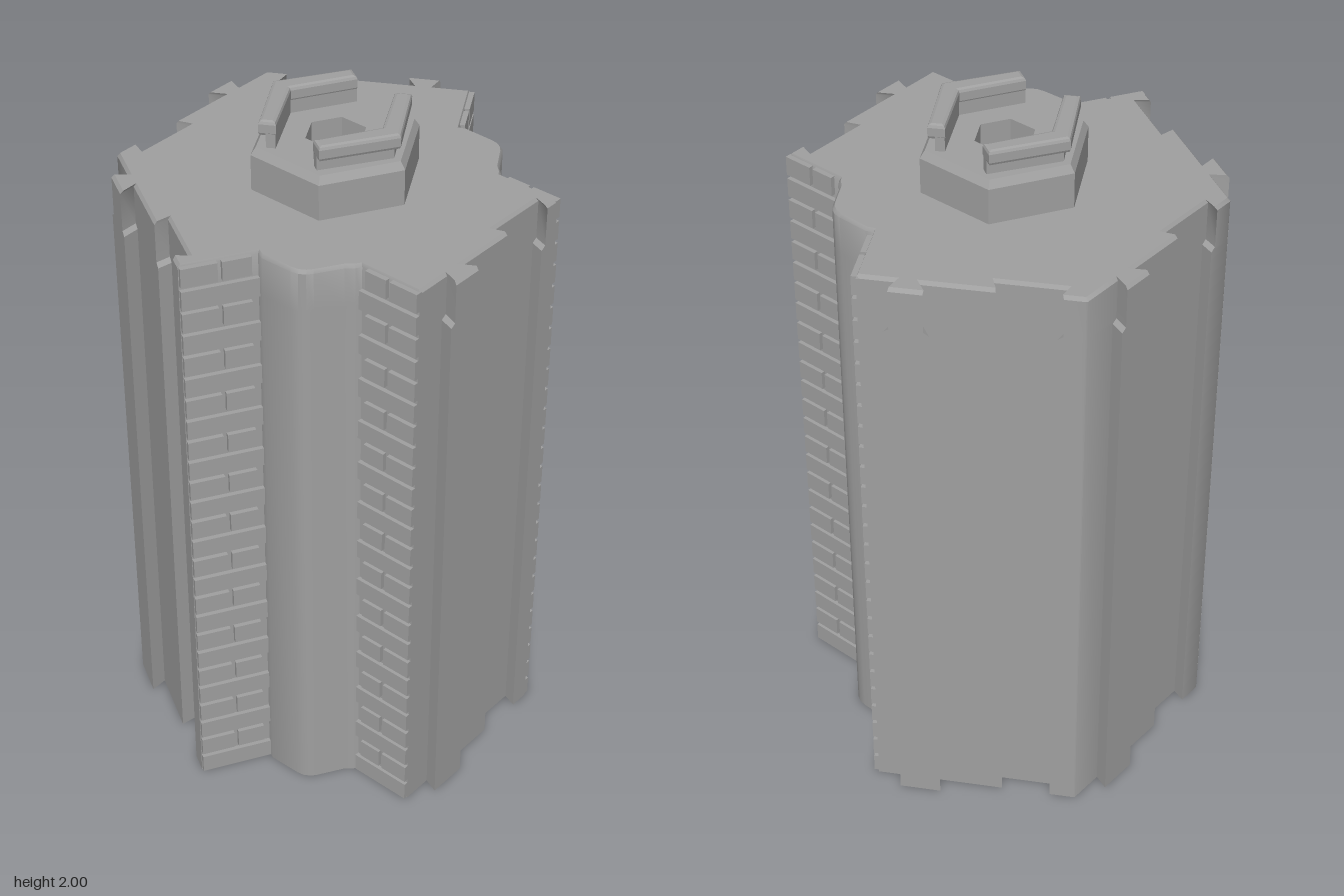
import * as THREE from 'three';
import { mergeGeometries, toCreasedNormals } from 'three/addons/utils/BufferGeometryUtils.js';

const TOP = 1.795;

// One jointed side of the hexagon: a dovetail recess, then a projecting tooth.
// taper narrows the tooth and widens the recess near the roof.
function jointedSide(deg, taper, startCut, endCut) {
  const a = THREE.MathUtils.degToRad(deg), c = Math.cos(a), s = Math.sin(a);
  const t = taper;
  return [
    [-0.3 + startCut, 0.523], [-0.228 - t, 0.523], [-0.243 - t, 0.482],
    [-0.07 + t, 0.482], [-0.085 + t, 0.523],
    [0.118 + t, 0.523], [0.092 + t, 0.567], [0.212 - t, 0.567], [0.195 - t, 0.523],
    [0.3 - endCut, 0.523],
  ].map(([u, n]) => [n * c - u * s, n * s + u * c]);
}

// Plan of the body as [x, z] points
function outline(taper) {
  const cove = [
    [0.335, 0.287], [0.325, 0.302], [0.305, 0.32], [0.262, 0.39], [0.25, 0.405],
    [0.232, 0.416], [0.21, 0.42], [0.115, 0.422], [0.094, 0.413],
  ];
  return [
    ...jointedSide(0, taper, 0.013, 0.013),
    ...cove,
    ...jointedSide(120, taper, 0.013, 0),
    ...jointedSide(180, taper, 0, 0),
    ...jointedSide(240, taper, 0, 0.013),
    ...cove.map(([x, z]) => [x, -z]).reverse(),
  ];
}

// Side skin lofted through horizontal rings of equal length
function loft(rings) {
  const pos = [];
  for (let r = 0; r < rings.length - 1; r++) {
    const lo = rings[r], hi = rings[r + 1], n = lo.pts.length;
    for (let i = 0; i < n; i++) {
      const j = (i + 1) % n;
      const aL = [lo.pts[i][0], lo.y, lo.pts[i][1]], bL = [lo.pts[j][0], lo.y, lo.pts[j][1]];
      const aH = [hi.pts[i][0], hi.y, hi.pts[i][1]], bH = [hi.pts[j][0], hi.y, hi.pts[j][1]];
      pos.push(...aL, ...aH, ...bH, ...aL, ...bH, ...bL);
    }
  }
  const g = new THREE.BufferGeometry();
  g.setAttribute('position', new THREE.Float32BufferAttribute(pos, 3));
  return toCreasedNormals(g, 0.6);
}

const shapeOf = (pts, flip) =>
  new THREE.Shape(pts.map(([x, z]) => new THREE.Vector2(x, flip ? -z : z)));

const hexagon = (r) => Array.from({ length: 6 }, (_, i) =>
  [r * Math.cos(i * Math.PI / 3), r * Math.sin(i * Math.PI / 3)]);

// Six-sided turned part with sharp edges and a corner on +x
function hexLathe(profile) {
  const g = new THREE.LatheGeometry(profile.map(([r, y]) => new THREE.Vector2(r, y)), 6, Math.PI / 2);
  return toCreasedNormals(g, 0.2);
}

// Courses of bricks along a wall from corner a to b, alternating one long and two short
function brickWall(a, b, outward) {
  const rows = 26, rowH = TOP / rows, gap = 0.012, depth = 0.02;
  const A = new THREE.Vector2(...a), dir = new THREE.Vector2(...b).sub(A);
  const len = dir.length();
  dir.normalize();
  const list = [];
  for (let r = 0; r < rows; r++) {
    const half = len / 2;
    const spans = r % 2 ? [[0, half - gap / 2], [half + gap / 2, len - 0.02]] : [[0, len]];
    for (const [s, e] of spans) {
      const m = (s + e) / 2;
      const g = new THREE.BoxGeometry(e - s, rowH - gap, depth);
      g.rotateY(-Math.atan2(dir.y, dir.x));
      g.translate(
        A.x + dir.x * m - outward[0] * depth / 2,
        (r + 0.5) * rowH,
        A.y + dir.y * m - outward[1] * depth / 2);
      list.push(g);
    }
  }
  return mergeGeometries(list);
}

// V-shaped clip layer, mirrored by side
function clipLayer(side, pts, y, h, bevel) {
  const full = [...pts, ...pts.slice().reverse().map(([x, z]) => [x, -z])];
  const g = new THREE.ExtrudeGeometry(shapeOf(full.map(([x, z]) => [x * side, z]), true), {
    depth: h - 2 * bevel, bevelEnabled: bevel > 0, bevelSize: bevel,
    bevelThickness: bevel, bevelOffset: -bevel, bevelSegments: 2,
  });
  g.rotateX(-Math.PI / 2);
  g.translate(0, y + bevel, 0);
  return g;
}

export function createModel() {
  const model = new THREE.Group();
  model.name = 'column';
  const stone = new THREE.MeshStandardMaterial({ color: 0xa0a0a0, side: THREE.DoubleSide });
  stone.name = 'grey stone';
  const add = (name, geometry) => {
    const mesh = new THREE.Mesh(geometry, stone);
    mesh.name = name;
    model.add(mesh);
  };

  // Body shell with tapered joint ends and a slightly bevelled rim
  const low = outline(0), high = outline(0.015);
  const rim = high.map(([x, z]) => [x * 0.985, z * 0.985]);
  add('bodySides', loft([
    { y: 0, pts: low }, { y: 1.66, pts: low }, { y: 1.67, pts: high },
    { y: TOP - 0.01, pts: high }, { y: TOP, pts: rim },
  ]));

  // Roof
  const roof = new THREE.ShapeGeometry(shapeOf(rim, true));
  roof.rotateX(-Math.PI / 2);
  roof.translate(0, TOP, 0);
  add('roof', roof);

  // Underside with the socket opening
  const baseShape = shapeOf(low, false);
  baseShape.holes.push(shapeOf(hexagon(0.235), false));
  const base = new THREE.ShapeGeometry(baseShape);
  base.rotateX(Math.PI / 2);
  add('underside', base);
  add('socket', hexLathe([[0, 1.6], [0.2, 1.6], [0.2, 0.13], [0.235, 0.13], [0.235, 0]]));

  // Brick corners either side of both coves
  for (const m of [1, -1]) {
    const end = m > 0 ? 'front' : 'back';
    add(end + 'OuterBricks', brickWall([0.523, 0.3 * m], [0.335, 0.3 * m], [0, m]));
    add(end + 'InnerBricks', brickWall([0, 0.602 * m], [0.105, 0.42 * m], [0.864, 0.504 * m]));
  }

  // Hexagonal plug with a small recess
  add('plug', hexLathe([
    [0.237, 1.78], [0.237, 1.9], [0.222, 1.922], [0.085, 1.922], [0.085, 1.82], [0, 1.82],
  ]));

  // Pair of locking clips: neck and overhanging lip
  for (const side of [1, -1]) {
    const name = side > 0 ? 'left' : 'right';
    add(name + 'ClipNeck', clipLayer(side,
      [[0.2, 0], [0.088, 0.178], [0.066, 0.164], [0.16, 0]], 1.915, 0.05, 0));
    add(name + 'ClipLip', clipLayer(side,
      [[0.222, 0], [0.105, 0.188], [0.064, 0.164], [0.158, 0]], 1.955, 0.045, 0.01));
  }
  return model;
}
